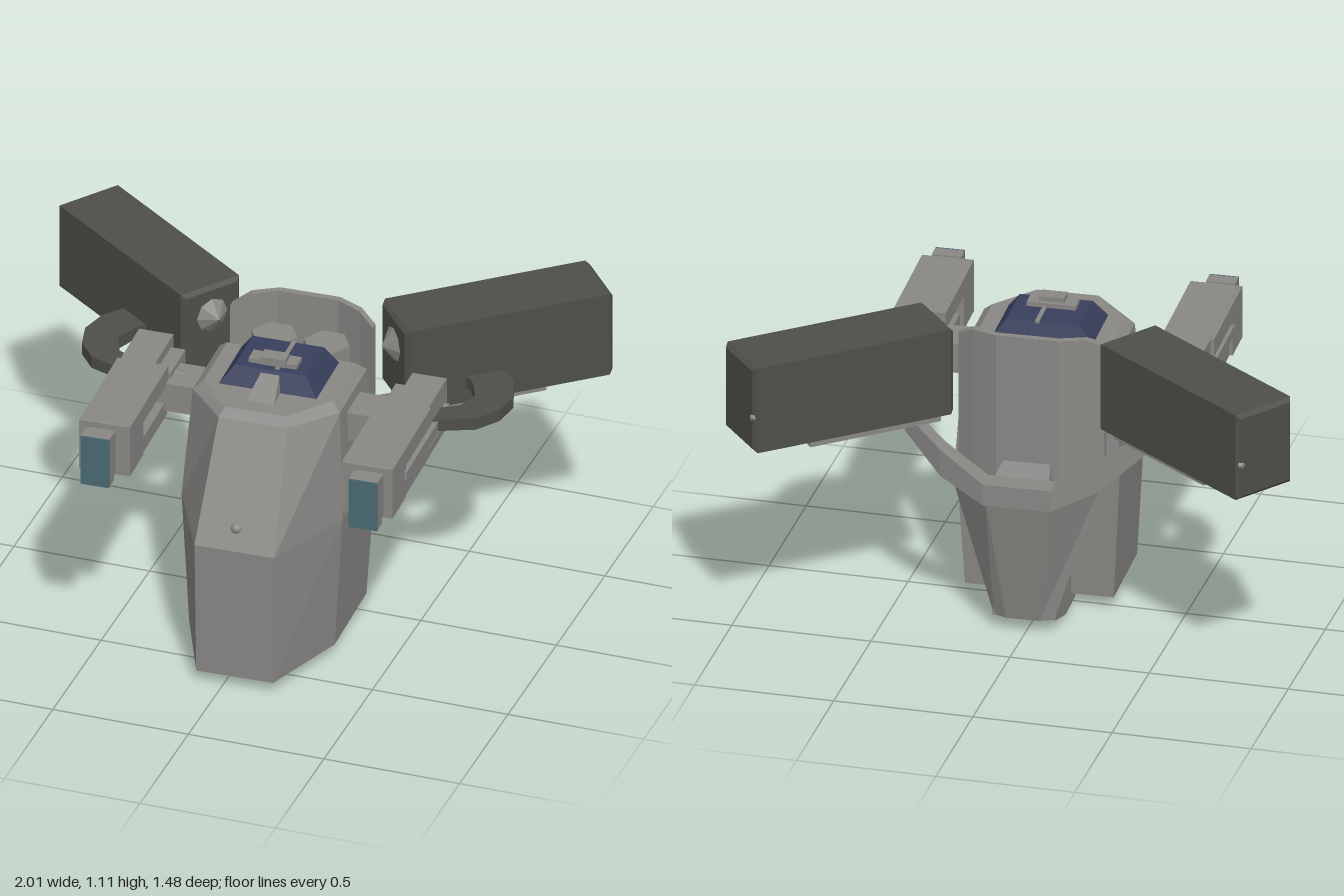
import * as THREE from 'three';

const mat = (name, color) => {
  const m = new THREE.MeshStandardMaterial({ color });
  m.name = name;
  return m;
};

export function createModel() {
  const grey = mat('hull grey', 0x8a8885);
  const dark = mat('dark olive', 0x4e4f48);
  const blue = mat('canopy blue', 0x383e5c);
  const teal = mat('muzzle teal', 0x4a6a74);

  const model = new THREE.Group();
  model.name = 'walkerTorso';
  model.position.x = 0.02;
  model.rotation.y = 0.037; // the torso is turned slightly

  const add = (name, geo, material, parent = model) => {
    const g = geo.index ? geo.toNonIndexed() : geo;
    g.computeVertexNormals(); // flat facets
    const mesh = new THREE.Mesh(g, material);
    mesh.name = name;
    parent.add(mesh);
    return mesh;
  };
  const box = (name, material, parent, [x0, x1], [y0, y1], [z0, z1]) => {
    const m = add(name, new THREE.BoxGeometry(x1 - x0, y1 - y0, z1 - z0), material, parent);
    m.position.set((x0 + x1) / 2, (y0 + y1) / 2, (z0 + z1) / 2);
    return m;
  };
  // Skin over matching rings, closed by a cap at each end
  const loft = (rings) => {
    const n = rings[0].length, idx = [];
    for (let r = 0; r < rings.length - 1; r++) {
      for (let i = 0; i < n; i++) {
        const j = (i + 1) % n, a = r * n, b = a + n;
        idx.push(a + i, a + j, b + j, a + i, b + j, b + i);
      }
    }
    const top = (rings.length - 1) * n;
    for (let i = 1; i < n - 1; i++) idx.push(0, i + 1, i, top, top + i, top + i + 1);
    const g = new THREE.BufferGeometry();
    g.setAttribute('position', new THREE.Float32BufferAttribute(rings.flat(2), 3));
    g.setIndex(idx);
    return g;
  };
  // Completes a ring from its +x half, listed front to back
  const mirrorRing = (half) => [...half, ...half.map(([x, y, z]) => [-x, y, z]).reverse()];
  // Curved band running along x: stations of [x, yLow, yHigh, zOuter, zInner] for the +x half
  const band = (half) => {
    const all = [...half.map(([x, ...r]) => [-x, ...r]).reverse(), ...half];
    return loft(all.map(([x, a, b, o, i]) => [[x, a, o], [x, b, o], [x, b, i], [x, a, i]]));
  };
  // Box with chamfered edges, centred, long axis along z
  const chamferBox = (w, h, d, c) => {
    const s = new THREE.Shape(), x = w / 2 - c, y = h / 2 - c;
    s.moveTo(-x, -y);
    s.lineTo(x, -y);
    s.lineTo(x, y);
    s.lineTo(-x, y);
    s.closePath();
    const g = new THREE.ExtrudeGeometry(s, {
      depth: d - 2 * c, bevelEnabled: true, bevelSize: c, bevelThickness: c, bevelSegments: 1 });
    return g.translate(0, 0, c - d / 2);
  };

  // Hull: [y, front half width, front z, side half width, side z, back z]
  const hull = [
    [0.042, 0.14, 0.645, 0.265, 0.33, -0.035],
    [0.55, 0.145, 0.65, 0.293, 0.33, -0.06],
    [0.95, 0.125, 0.435, 0.268, 0.28, -0.03],
    [0.98, 0.11, 0.41, 0.235, 0.26, -0.01],
  ].map(([y, fw, fz, sw, sz, bz]) => mirrorRing([[fw, y, fz], [sw, y, sz], [sw, y, bz]]));
  add('hull', loft(hull), grey);
  const lamp = add('frontLamp', new THREE.IcosahedronGeometry(0.022, 1), grey);
  lamp.position.set(-0.005, 0.62, 0.606);

  // Canopy and its roof fittings
  add('canopy', loft([[0.97, 0.185, 0.27, 0.0], [1.045, 0.13, 0.23, 0.025]].map(
    ([y, w, f, b]) => mirrorRing([[w, y, f], [w, y, b]]))), blue);
  box('canopyRib', grey, model, [0.013, 0.028], [1.04, 1.05], [0.02, 0.22]);
  box('sightBar', grey, model, [-0.09, 0.085], [1.04, 1.062], [0.14, 0.2]);
  box('sightBlock', grey, model, [-0.045, 0.045], [1.05, 1.08], [0.155, 0.21]);
  add('sightRamp', loft([
    mirrorRing([[0.055, 0.96, 0.36], [0.045, 0.96, 0.2]]),
    mirrorRing([[0.05, 0.985, 0.345], [0.03, 1.045, 0.21]]),
  ]), grey);

  // Back shield with two vents in front of it
  add('backShield', band([
    [0.11, 0.48, 1.1, -0.23, -0.205],
    [0.2, 0.5, 1.095, -0.19, -0.163],
    [0.26, 0.53, 1.06, -0.155, -0.125],
  ]), grey);
  for (const s of [-1, 1]) {
    const vent = add('backVent', new THREE.CylinderGeometry(0.083, 0.09, 0.2, 6), grey);
    vent.position.set(s * 0.095, 0.88, -0.115);
    vent.rotation.y = Math.PI / 6;
  }

  // Open rear shell, narrowing downward: [y, back half width, back z, edge half width, edge y, edge z]
  add('rearShell', loft([
    [0.05, 0.06, -0.295, 0.107, 0.05, -0.275],
    [0.56, 0.115, -0.39, 0.285, 0.61, -0.235],
  ].map(([y, bw, bz, ew, ey, ez]) =>
    mirrorRing([[bw - 0.01, y, bz + 0.035], [ew, ey, ez], [bw, y, bz]]))), grey);
  // Two thin keel plates joining the shell to the hull
  for (const s of [-1, 1]) {
    const profile = [[-0.12, 0], [-0.28, 0.05], [-0.24, 0.5], [-0.14, 0.53], [-0.03, 0.53], [0.03, 0]];
    add('keelPlate', loft([-0.006, 0.006].map(
      (dx) => profile.map(([z, y]) => [s * 0.107 + dx, y, z]))), grey);
  }
  // Rim belt reaching up to the pods, and its bridge to the shield
  add('rearBelt', band([
    [0.12, 0.52, 0.6, -0.393, -0.31],
    [0.285, 0.59, 0.69, -0.335, -0.26],
    [0.43, 0.71, 0.78, -0.25, -0.18],
  ]), grey);
  add('beltBridge', loft([
    mirrorRing([[0.11, 0.5, -0.21], [0.11, 0.5, -0.34]]),
    mirrorRing([[0.08, 0.63, -0.21], [0.1, 0.59, -0.32]]),
  ]), grey);

  for (const s of [-1, 1]) {
    const side = s > 0 ? 'left' : 'right';

    // Launcher pod, long axis angled outward and back
    const pod = new THREE.Group();
    pod.name = side + 'Pod';
    pod.position.set(s * 0.634, 0.95, -0.378);
    pod.rotation.y = s * (Math.PI / 2 + 0.663); // +z points outward
    model.add(pod);
    add('podCase', chamferBox(0.245, 0.325, 0.77, 0.014), dark, pod);
    box('podRail', grey, pod, [-0.085, 0.085], [-0.2, -0.16], [-0.35, 0.15]);
    const nose = add('podSensor', new THREE.ConeGeometry(0.065, 0.045, 8), grey, pod);
    nose.rotation.x = -Math.PI / 2;
    nose.position.set(0, 0.05, -0.407);
    const stud = add('podStud', new THREE.IcosahedronGeometry(0.016, 0), grey, pod);
    stud.position.set(s * 0.105, -0.03, 0.378);
    const pin = add(side + 'Pin', new THREE.CylinderGeometry(0.009, 0.009, 0.12, 6), grey);
    pin.position.set(s * 0.6, 0.92, -0.235);
    const pinHead = add(side + 'PinHead', new THREE.IcosahedronGeometry(0.018, 0), grey);
    pinHead.position.set(s * 0.6, 0.96, -0.235);

    // Curved feed arm from pod to gun
    const arc = [[0.665, -0.3], [0.75, -0.2], [0.78, -0.1], [0.76, 0], [0.7, 0.08], [0.56, 0.135],
      [0.55, 0.05], [0.62, 0.01], [0.65, -0.07], [0.61, -0.16], [0.54, -0.22]];
    const shape = new THREE.Shape(arc.map(([x, z]) => new THREE.Vector2(s * x, -z)));
    const feed = add(side + 'FeedArm',
      new THREE.ExtrudeGeometry(shape, { depth: 0.045, bevelEnabled: false }), dark);
    feed.rotation.x = -Math.PI / 2;
    feed.position.y = 0.845;

    // Gun
    const gun = new THREE.Group();
    gun.name = side + 'Gun';
    gun.position.set(s * 0.478, 0, 0);
    model.add(gun);
    const body = add('gunBody', chamferBox(0.125, 0.2, 0.66, 0.008), grey, gun);
    body.position.set(s * 0.02, 0.867, 0.295);
    box('gunFrontBlock', grey, gun, [-0.095, 0.09], [0.77, 0.966], [0.47, 0.625]);
    box('gunTopRail', grey, gun, [-0.095, 0.09], [0.9, 0.966], [0.18, 0.625]);
    box('gunBottomRail', grey, gun, [-0.08, 0.085], [0.77, 0.83], [0.18, 0.5]);
    box('gunKeel', grey, gun, [-0.05, 0.055], [0.715, 0.78], [0.2, 0.53]);
    const rod = box('gunRod', grey, gun, [-0.015, 0.015], [0.848, 0.883], [0.0, 0.49]);
    rod.position.x = s * 0.085;
    const drum = add('gunDrum', new THREE.CylinderGeometry(0.075, 0.075, 0.23, 16), grey, gun);
    drum.rotation.x = Math.PI / 2;
    drum.position.set(s * 0.01, 0.795, 0.115);
    const rear = box('gunRearBlock', grey, gun, [-0.03, 0.03], [0.78, 0.93], [0.0, 0.17]);
    rear.position.x = -s * 0.065;

    // Muzzle
    const muzzle = new THREE.Group();
    muzzle.name = side + 'Muzzle';
    muzzle.position.x = s * 0.01;
    gun.add(muzzle);
    box('muzzleNeck', grey, muzzle, [-0.048, 0.048], [0.78, 0.945], [0.6, 0.67]);
    box('muzzleBlock', grey, muzzle, [-0.052, 0.052], [0.765, 0.957], [0.655, 0.709]);
    box('muzzleFace', teal, muzzle, [-0.052, 0.052], [0.765, 0.957], [0.709, 0.715]);

    // Shoulder joint between hull and gun
    const joint = box(side + 'Shoulder', grey, model, [-0.09, 0.09], [0.8, 0.91], [0.06, 0.21]);
    joint.position.x = s * 0.33;
    const hub = add(side + 'ShoulderHub', new THREE.CylinderGeometry(0.075, 0.075, 0.06, 8), grey);
    hub.rotation.z = Math.PI / 2;
    hub.position.set(s * 0.375, 0.84, 0.12);
  }

  const root = new THREE.Group();
  root.name = 'model';
  root.add(model);
  return root;
}
